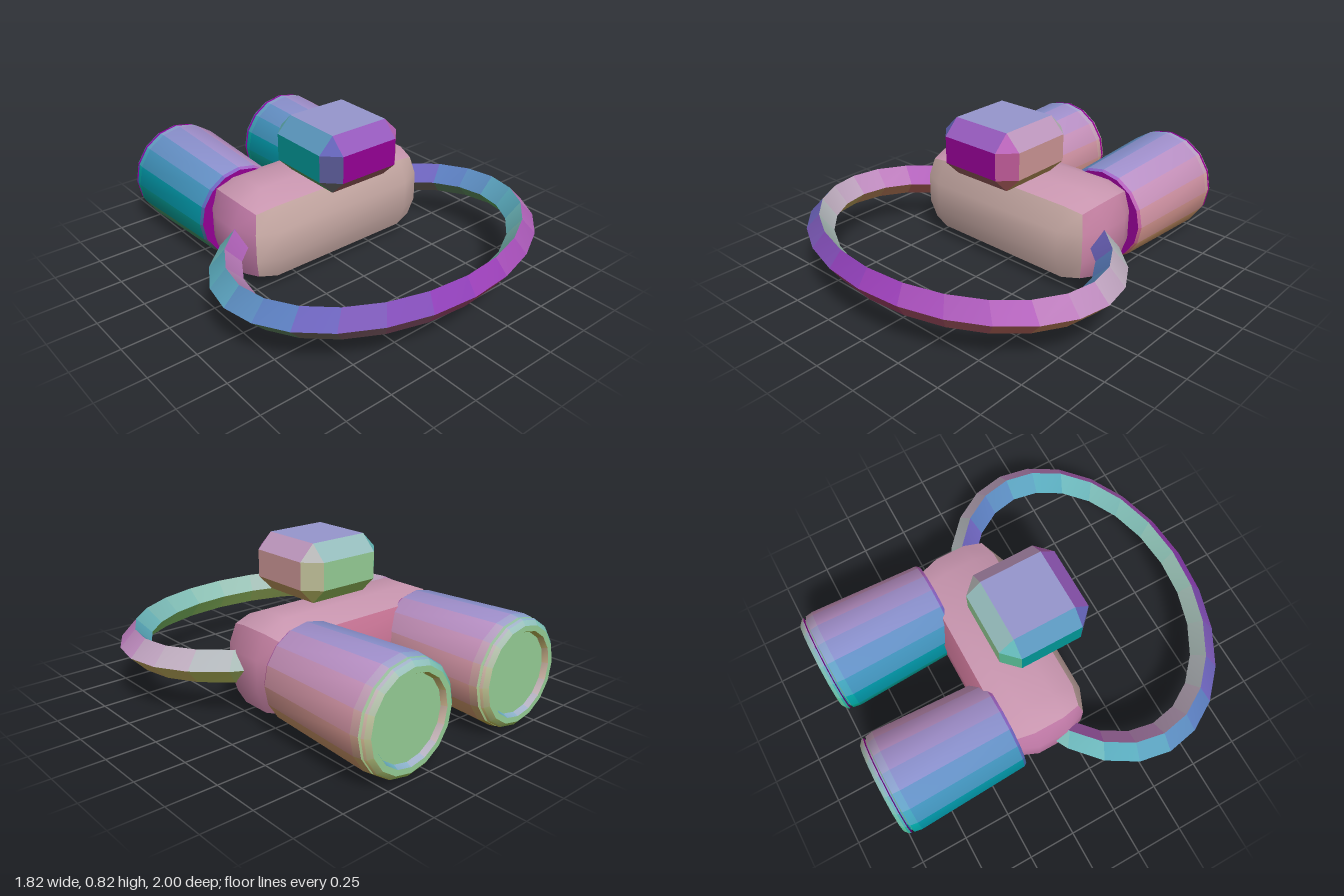
import * as THREE from 'three';
import { toCreasedNormals } from 'three/addons/utils/BufferGeometryUtils.js';
import { ConvexGeometry } from 'three/addons/geometries/ConvexGeometry.js';

const CREASE = 0.55;
const tones = new Map();

// One material per facing direction: right is red, back is green, up is blue
function toneFor(n) {
  const steps = [n.x, -n.z, n.y].map((v) => Math.round(v * 12) / 12);
  const key = steps.map((v) => v.toFixed(2)).join();
  if (!tones.has(key)) {
    const material = new THREE.MeshStandardMaterial();
    material.color.setRGB(...steps.map((v) => 0.604 * (0.5 + 0.5 * v)));
    tones.set(key, material);
  }
  return tones.get(key);
}

// Creases the geometry and colours its faces by the way they point
function part(name, source, x, y, z) {
  const geometry = toCreasedNormals(source, CREASE);
  const pos = geometry.attributes.position;
  const buckets = new Map();
  const [a, b, c, n] = [0, 1, 2, 3].map(() => new THREE.Vector3());
  for (let i = 0; i < pos.count; i += 3) {
    [a, b, c].forEach((v, k) => v.fromBufferAttribute(pos, i + k));
    THREE.Triangle.getNormal(a, b, c, n);
    const material = toneFor(n);
    if (!buckets.has(material)) buckets.set(material, []);
    buckets.get(material).push(i, i + 1, i + 2);
  }
  const index = [];
  [...buckets.values()].forEach((corners, k) => {
    geometry.addGroup(index.length, corners.length, k);
    index.push(...corners);
  });
  geometry.setIndex(index);
  const mesh = new THREE.Mesh(geometry, [...buckets.keys()]);
  mesh.name = name;
  mesh.position.set(x, y, z);
  return mesh;
}

// Box whose edges are rounded in two steps
function softBox(w, h, d, radius) {
  const geometry = new THREE.BoxGeometry(2, 2, 2, 3, 3, 3);
  const pos = geometry.attributes.position;
  const core = new THREE.Vector3(w / 2 - radius, h / 2 - radius, d / 2 - radius);
  const p = new THREE.Vector3();
  for (let i = 0; i < pos.count; i++) {
    p.fromBufferAttribute(pos, i);
    const signs = new THREE.Vector3(Math.sign(p.x), Math.sign(p.y), Math.sign(p.z));
    const n = new THREE.Vector3(Math.trunc(p.x * 1.001), Math.trunc(p.y * 1.001), Math.trunc(p.z * 1.001)).normalize();
    p.copy(core).multiply(signs).addScaledVector(n, radius);
    pos.setXYZ(i, p.x, p.y, p.z);
  }
  return geometry;
}

// Box with a single flat chamfer on every edge
function chamferBox(w, h, d, c) {
  const points = [];
  for (const x of [-1, 1]) for (const y of [-1, 1]) for (const z of [-1, 1]) {
    for (let axis = 0; axis < 3; axis++) {
      const [a, b, e] = [w, h, d].map((s, i) => s / 2 - (i === axis ? 0 : c));
      points.push(new THREE.Vector3(x * a, y * b, z * e));
    }
  }
  return new ConvexGeometry(points);
}

// Flared barrel with a grooved rim and a recessed lens
function barrelGeometry() {
  const profile = [
    [0, 0.31], [0.24, 0.31], [0.25, 0.325], [0.276, 0.915], [0.269, 0.955],
    [0.254, 0.96], [0.254, 0.966], [0.268, 0.97], [0.262, 0.982], [0.24, 1],
    [0.212, 1], [0.2, 0.972], [0, 0.972],
  ].map(([r, depth]) => new THREE.Vector2(r, depth));
  return new THREE.LatheGeometry(profile, 16).rotateX(-Math.PI / 2);
}

export function createModel() {
  const model = new THREE.Group();
  model.name = 'binocularGoggles';

  model.add(part('body', softBox(1.16, 0.495, 0.5, 0.17), 0, 0.282, -0.14));
  model.add(part('topPod', chamferBox(0.49, 0.3, 0.49, 0.08), 0, 0.678, 0.03));

  for (const side of [-1, 1]) {
    model.add(part(side > 0 ? 'leftBarrel' : 'rightBarrel', barrelGeometry(), side * 0.365, 0.281, 0));
  }

  // Oval head strap with a diamond section
  const strap = new THREE.TorusGeometry(0.824, 0.084, 4, 24);
  strap.rotateX(Math.PI / 2).scale(1, 1, 0.7);
  model.add(part('headStrap', strap, 0, 0.281, 0.36));

  return model;
}
